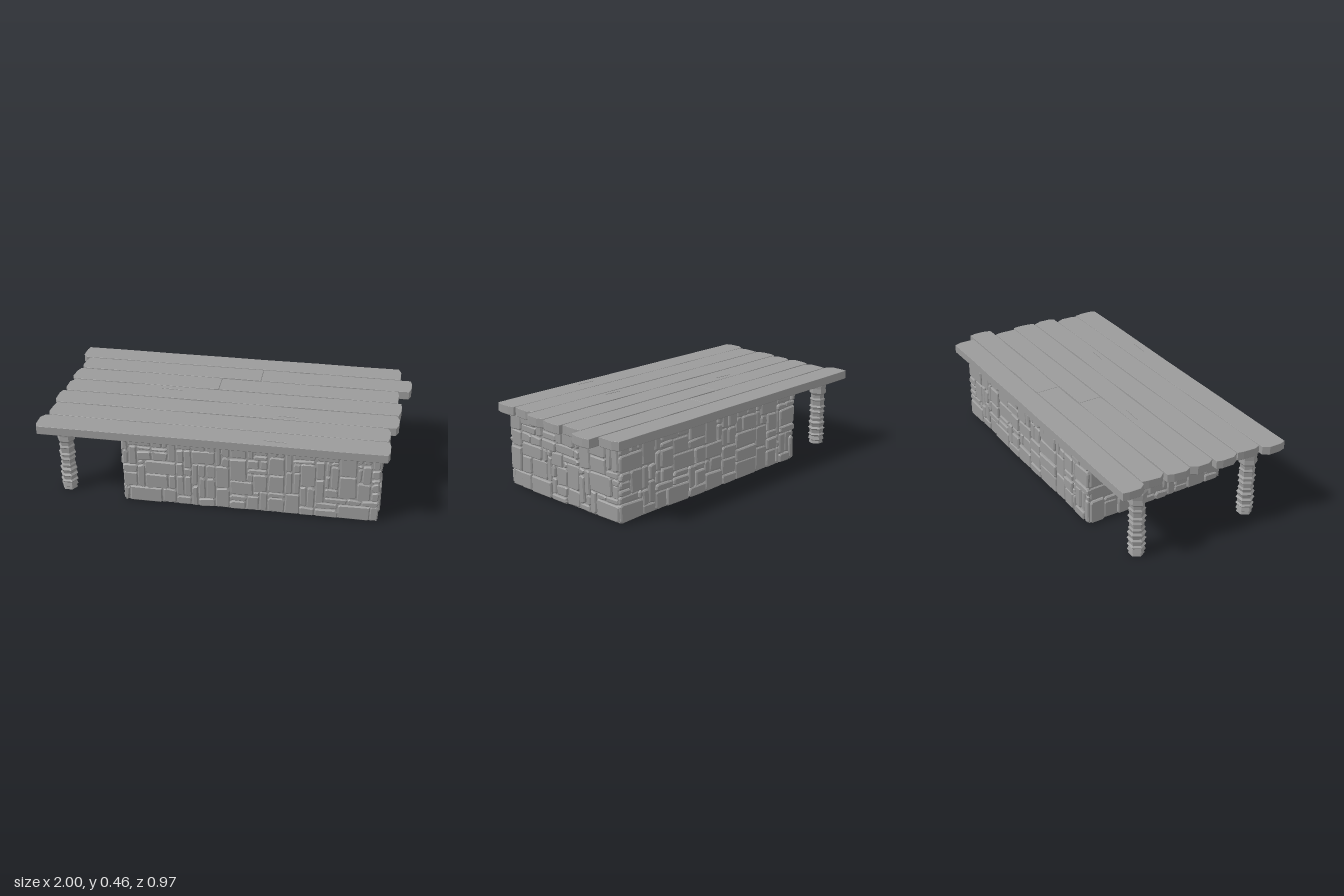
import * as THREE from 'three';
import { mergeGeometries } from 'three/addons/utils/BufferGeometryUtils.js';

const material = new THREE.MeshStandardMaterial({ color: 0x9a9a9a, flatShading: true, side: THREE.DoubleSide });

let seed = 11;
function rand(a = 0, b = 1) {
  seed = (seed * 16807) % 2147483647;
  return a + (b - a) * (seed / 2147483647);
}

function mesh(name, geometry) {
  const m = new THREE.Mesh(geometry, material);
  m.name = name;
  return m;
}

// Bevelled slab between two depths; the bevel stays inside the outline
function slab(points, from, to, bevel, holes = []) {
  const shape = new THREE.Shape(points);
  for (const h of holes) shape.holes.push(new THREE.Path(h));
  const g = new THREE.ExtrudeGeometry(shape, {
    depth: to - from - 2 * bevel, bevelEnabled: true, bevelSegments: 1,
    bevelSize: bevel, bevelThickness: bevel, bevelOffset: -bevel, curveSegments: 1,
  });
  return g.translate(0, 0, from + bevel);
}

// Uneven rectangle with clipped corners
function stoneOutline(x0, x1, y0, y1) {
  const c = () => rand(0.004, 0.013);
  const j = () => rand(-0.004, 0.004);
  return [
    [x0 + c(), y0], [x1 - c(), y0], [x1, y0 + c()], [x1, y1 - c()],
    [x1 - c(), y1], [x0 + c(), y1], [x0, y1 - c()], [x0, y0 + c()],
  ].map(([x, y]) => new THREE.Vector2(x + j(), Math.max(0.001, y + j())));
}

// Irregular masonry: stones of mixed cell sizes packed onto an uneven grid
function stoneWall(name, length, height) {
  const cols = Math.round(length / 0.042), rows = 9;
  const lines = (n, size) => Array.from({ length: n + 1 }, (_, i) =>
    (i + (i > 0 && i < n ? rand(-0.25, 0.25) : 0)) * size / n);
  const xs = lines(cols, length), ys = lines(rows, height);
  const sizes = [[2, 1], [2, 1], [3, 1], [3, 1], [2, 2], [2, 2], [3, 2], [1, 2], [1, 3], [2, 3], [4, 2]];
  const used = new Set();
  const stones = [];
  const cells = (c, r, w, h) => {
    const list = [];
    for (let i = c; i < c + w; i++) for (let k = r; k < r + h; k++) list.push(k * cols + i);
    return list;
  };
  for (let r = 0; r < rows; r++) for (let c = 0; c < cols; c++) {
    if (used.has(r * cols + c)) continue;
    let pick = [1, 1];
    for (let t = 0; t < 6; t++) {
      const [w, h] = sizes[Math.floor(rand(0, sizes.length))];
      if (c + w <= cols && r + h <= rows && !cells(c, r, w, h).some(i => used.has(i))) {
        pick = [w, h];
        break;
      }
    }
    cells(c, r, ...pick).forEach(i => used.add(i));
    const gap = 0.002;
    const outline = stoneOutline(xs[c] + gap - length / 2, xs[c + pick[0]] - gap - length / 2,
      ys[r] + gap, ys[r + pick[1]] - gap);
    stones.push(slab(outline, rand(-0.022, -0.016), rand(0.013, 0.024), 0.006));
  }
  const group = new THREE.Group();
  group.name = name;
  const mortar = new THREE.BoxGeometry(length - 0.012, height - 0.004, 0.014).translate(0, height / 2, 0);
  group.add(mesh('stones', mergeGeometries(stones)), mesh('mortar', mortar));
  return group;
}

// Plank with gently wavering edges, worn ends and optional surface cracks
function plank(x0, x1, z0, z1, cracks = [], wornLeft = true, wornRight = true) {
  const pts = [];
  const steps = 7, w = z1 - z0;
  const cl = () => (wornLeft ? rand(0.004, 0.03) : 0);
  const cr = () => (wornRight ? rand(0.002, 0.018) : 0);
  const side = z => {
    const row = [];
    for (let i = 1; i < steps; i++)
      row.push([x0 + (x1 - x0) * (i + rand(-0.2, 0.2)) / steps, z + rand(-0.003, 0.003)]);
    return row;
  };
  pts.push([x0 + cl(), z0], ...side(z0), [x1 - cr(), z0]);
  pts.push([x1, z0 + w * 0.3], [x1 - cr() * 0.3, z0 + w * 0.75], [x1 - cr(), z1]);
  pts.push(...side(z1).reverse(), [x0 + cl(), z1]);
  pts.push([x0, z0 + w * 0.75], [x0 + cl() * 0.3, z0 + w * 0.25]);
  const outline = pts.map(([x, z]) => new THREE.Vector2(x, -z));
  const holes = cracks.map(([x, z, len]) => [
    [-len / 2, 0.005], [-len / 2, 0.001], [0, -0.004], [len / 2, -0.006], [len / 2, -0.002], [0, 0.003],
  ].map(([dx, dy]) => new THREE.Vector2(x + dx, dy - z)));
  const layers = [slab(outline, 0.41, 0.452, 0.004), slab(outline, 0.43, 0.46, 0.001, holes)];
  return mesh('plank', mergeGeometries(layers).rotateX(-Math.PI / 2));
}

// Six-sided post with a plain head block and flaring ridges below
function leg(name, z) {
  const profile = [
    [0, 0], [0.043, 0], [0.038, 0.016], [0.048, 0.024], [0.04, 0.045], [0.05, 0.056], [0.04, 0.064],
    [0.043, 0.085], [0.051, 0.094], [0.04, 0.104], [0.045, 0.122], [0.05, 0.13], [0.039, 0.142],
    [0.045, 0.16], [0.038, 0.17], [0.04, 0.19], [0.047, 0.198], [0.039, 0.21], [0.041, 0.222],
    [0.05, 0.23], [0.041, 0.24], [0.042, 0.268], [0.046, 0.275], [0.039, 0.285], [0.04, 0.305],
    [0.051, 0.318], [0.047, 0.345], [0.051, 0.38], [0.042, 0.392], [0.042, 0.412], [0, 0.412],
  ].map(p => new THREE.Vector2(...p));
  const m = mesh(name, new THREE.LatheGeometry(profile, 6, Math.PI / 2));
  m.position.set(-0.872, 0, z);
  return m;
}

export function createModel() {
  const model = new THREE.Group();
  model.name = 'stoneTable';

  // Hollow stone base, open underneath
  const base = new THREE.Group();
  base.name = 'stoneBase';
  for (const s of [1, -1]) {
    const long = stoneWall(s > 0 ? 'frontWall' : 'backWall', 1.4, 0.41);
    long.position.set(0.165, 0, s * 0.414);
    if (s < 0) long.rotation.y = Math.PI;
    const short = stoneWall(s > 0 ? 'leftWall' : 'rightWall', 0.84, 0.41);
    short.position.set(0.165 + s * 0.686, 0, 0);
    short.rotation.y = s * Math.PI / 2;
    base.add(long, short);
  }
  model.add(base);

  // Plank top, back to front
  const top = new THREE.Group();
  top.name = 'plankTop';
  top.add(
    plank(-0.965, 0.935, -0.487, -0.357),
    plank(-0.935, 0.134, -0.352, -0.22, [], true, false),
    plank(0.136, 1.0, -0.351, -0.217, [], false, true),
    plank(-0.955, -0.09, -0.213, -0.082, [], true, false),
    plank(-0.088, 0.93, -0.211, -0.08, [], false, true),
    plank(-0.955, 0.95, -0.074, 0.06, [[-0.35, -0.04, 0.12]]),
    plank(-0.975, 0.942, 0.067, 0.201, [[0.34, 0.17, 0.11]]),
    plank(-0.968, 0.9, 0.207, 0.343),
    plank(-1.0, 0.905, 0.349, 0.484, [[0.3, 0.438, 0.12]]),
  );
  model.add(top);

  // Two posts carry the overhang
  model.add(leg('frontLeg', 0.348), leg('backLeg', -0.348));
  return model;
}
